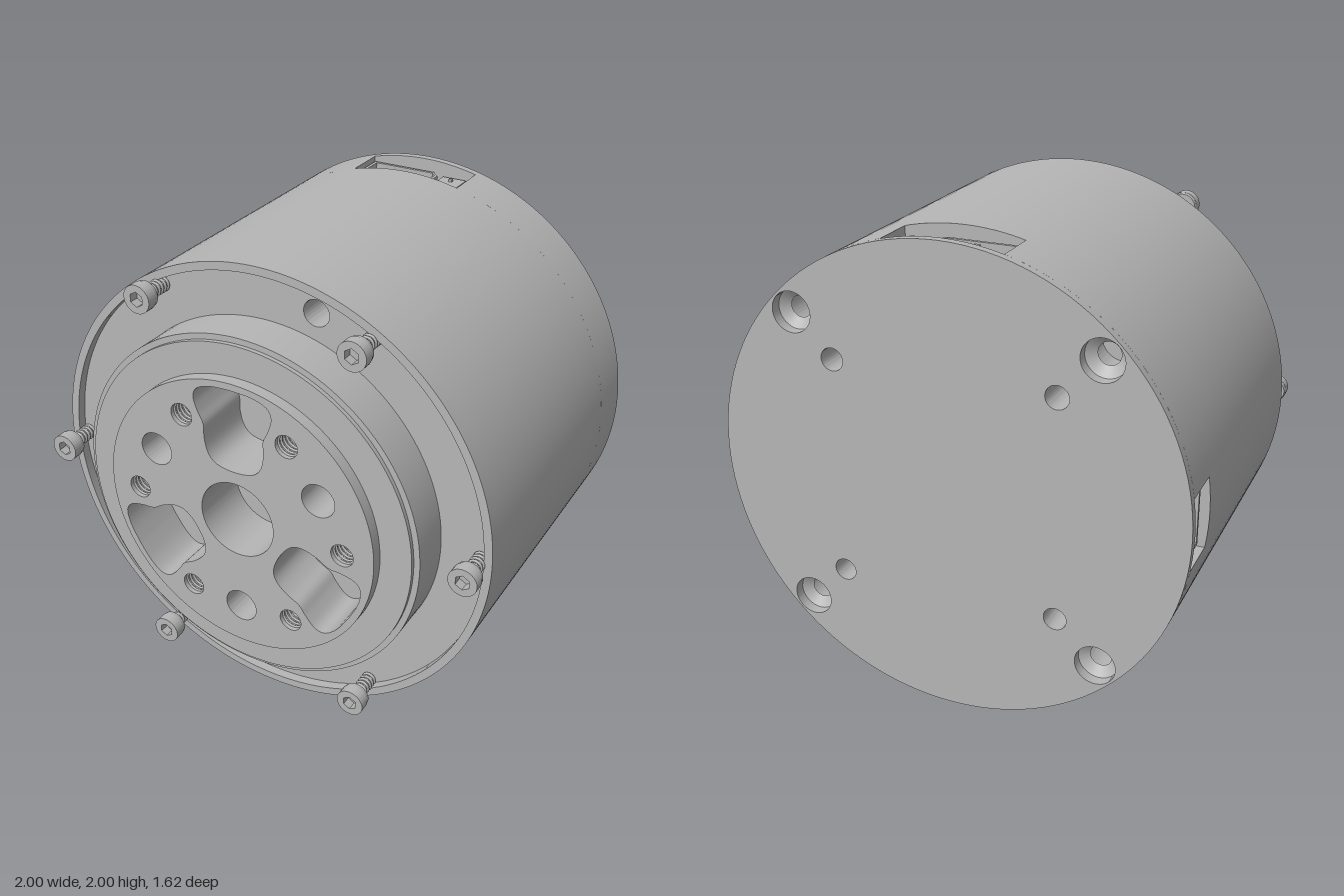
import * as THREE from 'three';
import { toCreasedNormals } from 'three/addons/utils/BufferGeometryUtils.js';

const metal = new THREE.MeshStandardMaterial({ color: 0xb6b6b6, side: THREE.DoubleSide });
metal.name = 'grey metal';

function add(parent, name, geometry, x = 0, y = 0, z = 0) {
  const m = new THREE.Mesh(geometry, metal);
  m.name = name;
  m.position.set(x, y, z);
  parent.add(m);
  return m;
}

// Shape extruded from z0 to z1 with smooth round walls and sharp edges
function slab(shape, z0, z1, segs = 64) {
  const g = new THREE.ExtrudeGeometry(shape, { depth: z1 - z0, bevelEnabled: false, curveSegments: segs });
  g.translate(0, 0, z0);
  return toCreasedNormals(g, 0.5);
}
const circle = (r, x = 0, y = 0) => new THREE.Shape().absarc(x, y, r, 0, Math.PI * 2, false);
function disc(r, ...holes) {
  const s = circle(r);
  s.holes.push(...holes);
  return s;
}
function polar(r, deg) {
  const a = THREE.MathUtils.degToRad(deg);
  return [r * Math.cos(a), r * Math.sin(a)];
}
// Cylinder lying along z
const rod = (r, z0, z1, r2 = r, open = false) =>
  new THREE.CylinderGeometry(r2, r, z1 - z0, 32, 1, open).rotateX(Math.PI / 2).translate(0, 0, (z0 + z1) / 2);

// Kidney-like pocket outline on the +y axis, turned by deg
function pocket(deg) {
  const half = [[0.09, 0.577], [0.155, 0.553], [0.175, 0.51], [0.158, 0.45], [0.135, 0.40],
    [0.135, 0.34], [0.12, 0.275], [0.08, 0.235]];
  const pts = [[0, 0.583], ...half, [0, 0.222], ...half.slice().reverse().map(([x, y]) => [-x, y])];
  const o = new THREE.Vector2();
  const v = pts.map(([x, y]) => new THREE.Vector2(x, y).rotateAround(o, THREE.MathUtils.degToRad(deg)));
  return new THREE.Shape(new THREE.SplineCurve([...v, v[0].clone()]).getPoints(72).slice(0, -1));
}

// Round outline with square notches for the sockets
function notchedDisc() {
  const s = new THREE.Shape();
  let from = 0;
  for (const [deg, half, floor] of [[90, 0.25, 0.85], [180, 0.15, 0.88], [270, 0.25, 0.85]]) {
    const mid = THREE.MathUtils.degToRad(deg), w = Math.asin(half);
    s.absarc(0, 0, 1, from, mid - w, false);
    const c = Math.cos(mid), n = Math.sin(mid);
    s.lineTo(c * floor + n * half, n * floor - c * half);
    s.lineTo(c * floor - n * half, n * floor + c * half);
    from = mid + w;
  }
  s.absarc(0, 0, 1, from, Math.PI * 2, false);
  return s;
}

// Cap screw with hex socket and threaded shank
function capScrew() {
  const g = new THREE.Group();
  g.name = 'capScrew';
  const hex = new THREE.Path(Array.from({ length: 6 }, (_, i) => new THREE.Vector2(...polar(0.032, i * 60 + 30))));
  add(g, 'screwHead', slab(disc(0.06, hex), 0.69, 0.735, 32));
  add(g, 'screwHeadBase', rod(0.056, 0.672, 0.695, 0.06));
  add(g, 'screwShank', rod(0.026, 0.55, 0.68));
  for (let i = 0; i < 6; i++) add(g, 'screwThread', new THREE.TorusGeometry(0.026, 0.007, 6, 24), 0, 0, 0.565 + i * 0.019);
  return g;
}

// Power socket facing +y: chamfered housing, two round pins and a small signal plug
function powerSocket() {
  const g = new THREE.Group();
  g.name = 'powerSocket';
  const outline = (d) => [[-0.24 + d, 0.6 + d], [0.055, 0.6 + d], [0.09 - d, 0.635], [0.09 - d, 0.725],
    [0.055, 0.76 - d], [-0.24 + d, 0.76 - d]].map((p) => new THREE.Vector2(...p));
  const housing = new THREE.Shape(outline(0));
  housing.holes.push(new THREE.Path(outline(0.014)));
  add(g, 'socketHousing', slab(housing, 0.85, 0.95).rotateX(-Math.PI / 2));
  for (const x of [-0.155, 0.02]) {
    add(g, 'roundPin', new THREE.CylinderGeometry(0.042, 0.042, 0.07, 24), x, 0.885, -0.68);
    for (const turn of [0, Math.PI / 2])
      add(g, 'pinCross', new THREE.BoxGeometry(0.06, 0.008, 0.01), x, 0.922, -0.68).rotation.y = turn + 0.4;
  }
  add(g, 'keyTab', new THREE.BoxGeometry(0.03, 0.09, 0.02), -0.065, 0.895, -0.618);
  add(g, 'signalPlug', new THREE.BoxGeometry(0.11, 0.09, 0.15), 0.16, 0.895, -0.68);
  for (const z of [-0.715, -0.645]) add(g, 'signalPin', new THREE.BoxGeometry(0.016, 0.016, 0.016), 0.16, 0.943, z);
  return g;
}

export function createModel() {
  const model = new THREE.Group();
  model.name = 'motor';
  const core = new THREE.Group();
  core.name = 'motorCore';
  core.position.y = 1;
  model.add(core);

  // Housing: back plate and notched band with mounting holes, barrel, front lip
  const corners = [[1, 1], [-1, 1], [-1, -1], [1, -1]];
  const mounts = () => corners.flatMap(([sx, sy]) => [circle(0.085, sx * 0.64, sy * 0.64), circle(0.048, sx * 0.47, sy * 0.47)]);
  add(core, 'backPlate', slab(disc(1, ...mounts()), -0.81, -0.775));
  const band = notchedDisc();
  band.holes.push(...mounts());
  add(core, 'socketBand', slab(band, -0.775, -0.583));
  for (const [sx, sy] of corners)
    add(core, 'counterboreSeat', rod(0.085, -0.765, -0.735, 0.045, true), sx * 0.64, sy * 0.64);
  add(core, 'barrel', slab(disc(1, circle(0.055, 0.225, 0.85), circle(0.055, -0.225, -0.85)), -0.583, 0.56, 96));
  add(core, 'frontLip', slab(disc(1, circle(0.965)), 0.56, 0.6, 96));

  // Stepped collar around the output flange
  add(core, 'collar', slab(disc(0.77, circle(0.6)), 0.56, 0.742));
  add(core, 'innerCollar', slab(disc(0.745, circle(0.6)), 0.742, 0.76));

  // Output flange with bore, pockets, dowel holes and tapped holes
  const holes = [circle(0.168)];
  for (let i = 0; i < 3; i++) holes.push(pocket(i * 120), circle(0.072, ...polar(0.43, 30 + i * 120)));
  for (let i = 0; i < 6; i++) holes.push(circle(0.049, ...polar(0.475, i * 60)));
  add(core, 'outputFlange', slab(disc(0.612, ...holes), 0.56, 0.81));
  for (let i = 0; i < 6; i++) {
    const [x, y] = polar(0.475, i * 60);
    add(core, 'tappedHoleTip', rod(0.001, 0.64, 0.7, 0.049, true), x, y);
    for (let k = 0; k < 5; k++) add(core, 'tappedThread', new THREE.TorusGeometry(0.049, 0.006, 6, 24), x, y, 0.71 + k * 0.019);
    const screw = capScrew();
    screw.position.set(...polar(0.94, i * 60), 0);
    core.add(screw);
  }

  // Sockets above and below, small signal port on the side
  for (const turn of [0, Math.PI]) {
    const socket = powerSocket();
    socket.rotation.z = turn;
    core.add(socket);
  }
  const port = new THREE.Shape([[-0.13, -0.075], [0.13, -0.075], [0.13, 0.075], [-0.13, 0.075]].map((p) => new THREE.Vector2(...p)));
  port.holes.push(new THREE.Path([[-0.115, -0.06], [0.115, -0.06], [0.115, 0.06], [-0.115, 0.06]].map((p) => new THREE.Vector2(...p))));
  const frame = add(core, 'sidePort', slab(port, 0, 0.085), -0.88, 0, -0.68);
  frame.rotation.set(-Math.PI / 2, -Math.PI / 2, 0, 'YXZ');
  frame.rotation.set(0, -Math.PI / 2, Math.PI / 2, 'YXZ');
  return model;
}
